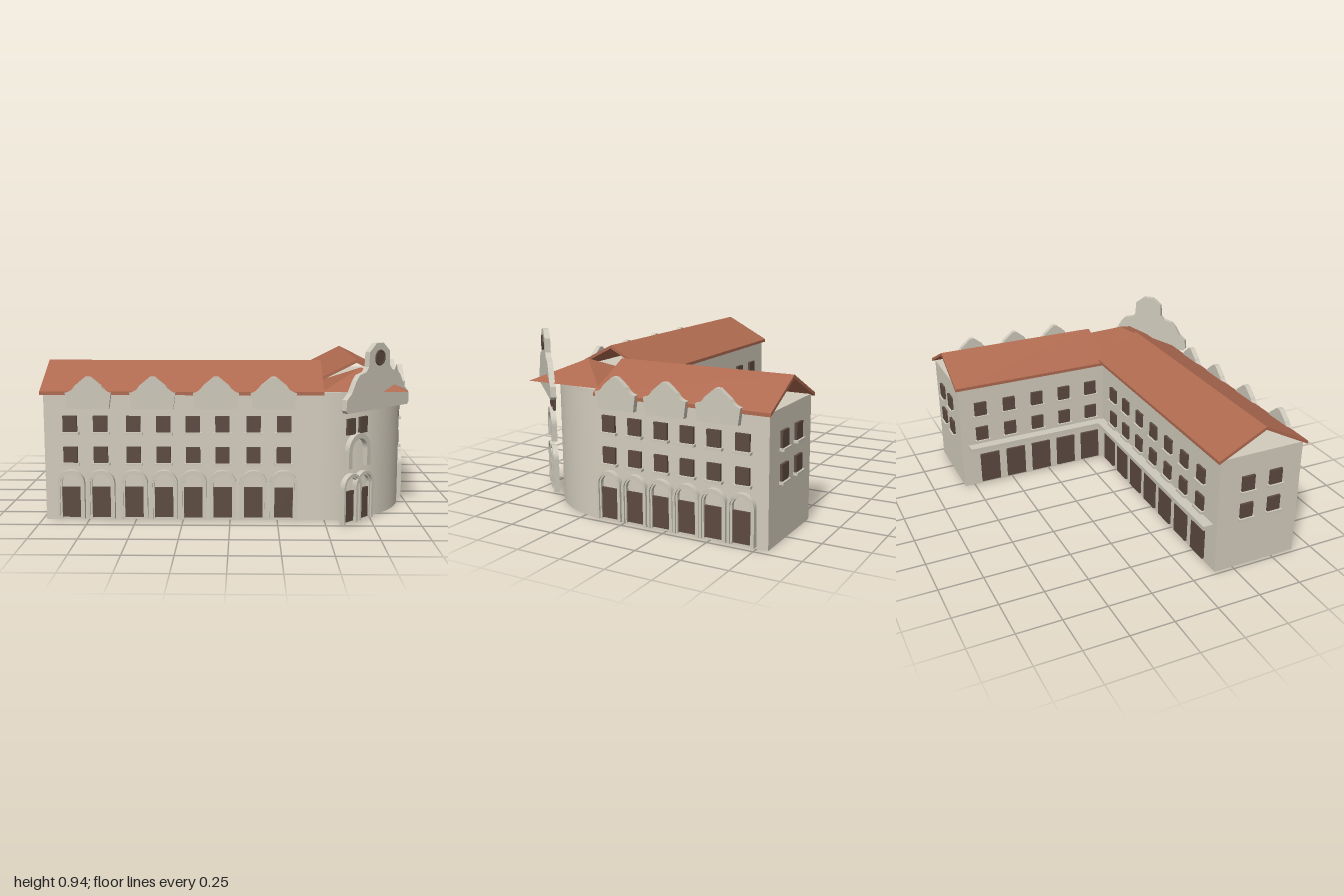
import * as THREE from 'three';

const material = (color) => new THREE.MeshStandardMaterial({ color, side: THREE.DoubleSide });
const wall = material(0xd2ccbc);
const trim = material(0xcdc8ba);
const roof = material(0xaf6a50);
const dark = material(0x5c4a40);

function add(parent, name, geometry, mat, x = 0, y = 0, z = 0) {
  const mesh = new THREE.Mesh(geometry, mat);
  mesh.name = name;
  mesh.position.set(x, y, z);
  parent.add(mesh);
  return mesh;
}

// Box given by its minimum and maximum corners
function block(parent, name, mat, [x0, y0, z0], [x1, y1, z1]) {
  return add(parent, name, new THREE.BoxGeometry(x1 - x0, y1 - y0, z1 - z0), mat,
    (x0 + x1) / 2, (y0 + y1) / 2, (z0 + z1) / 2);
}

const extrude = (shape, depth) =>
  new THREE.ExtrudeGeometry(shape, { depth, bevelEnabled: false, curveSegments: 12 });

// Round-headed band with straight jambs, standing on y = 0
function archBand(outer, inner, spring, depth) {
  const s = new THREE.Shape();
  s.moveTo(outer, 0);
  s.lineTo(outer, spring);
  s.absarc(0, spring, outer, 0, Math.PI, false);
  s.lineTo(-outer, 0);
  s.lineTo(-inner, 0);
  s.lineTo(-inner, spring);
  s.absarc(0, spring, inner, Math.PI, 0, true);
  s.lineTo(inner, 0);
  return extrude(s, depth);
}
const outerArch = archBand(0.072, 0.058, 0.19, 0.03);
const innerArch = archBand(0.058, 0.049, 0.19, 0.02);
const upperArch = archBand(0.09, 0.062, 0.09, 0.03);

// Facade group: local x runs along the wall, local z points outward
function facade(parent, name, x, z, angle) {
  const g = new THREE.Group();
  g.name = name;
  g.position.set(x, 0, z);
  g.rotation.y = angle;
  parent.add(g);
  return g;
}

function archedDoor(g, x, z = 0) {
  add(g, 'archSurround', outerArch, trim, x, 0.01, z);
  add(g, 'archInnerBand', innerArch, trim, x, 0.01, z);
  block(g, 'door', dark, [x - 0.05, 0.015, z], [x + 0.05, 0.178, z + 0.012]);
}

function window_(g, x, y, z = 0, sill = true, w = 0.075) {
  block(g, 'window', dark, [x - w / 2, y, z], [x + w / 2, y + 0.085, z + 0.014]);
  if (sill) block(g, 'windowSill', trim, [x - w / 2 - 0.01, y - 0.014, z], [x + w / 2 + 0.01, y, z + 0.025]);
}

function windowRows(g, xs, sill) {
  for (const x of xs) for (const y of [0.31, 0.475]) window_(g, x, y, 0, sill);
}

// Small curved dormer gable
const dormerShape = new THREE.Shape();
dormerShape.moveTo(-0.108, 0.6);
dormerShape.lineTo(0.108, 0.6);
dormerShape.lineTo(0.12, 0.685);
dormerShape.quadraticCurveTo(0.085, 0.69, 0.07, 0.72);
dormerShape.lineTo(0.012, 0.768);
dormerShape.lineTo(-0.012, 0.768);
dormerShape.lineTo(-0.07, 0.72);
dormerShape.quadraticCurveTo(-0.085, 0.69, -0.12, 0.685);
const dormer = extrude(dormerShape, 0.03);

// Two thin sloping slabs, open at the ends, running along local x
function gableRoof(parent, name, length, half, eave, ridge) {
  const t = 0.018;
  const s = new THREE.Shape();
  s.moveTo(-half, eave);
  s.lineTo(0, ridge);
  s.lineTo(half, eave);
  s.lineTo(half, eave - t);
  s.lineTo(0, ridge - t);
  s.lineTo(-half, eave - t);
  const geometry = extrude(s, length);
  geometry.translate(0, 0, -length / 2);
  return add(parent, name, geometry, roof);
}

export function createModel() {
  const model = new THREE.Group();
  model.name = 'cornerBuilding';

  // Two wings and the rounded corner between them
  block(model, 'frontWing', wall, [-0.98, 0, 0.14], [0.46, 0.683, 0.64]);
  block(model, 'sideWing', wall, [0.46, 0, -0.81], [0.96, 0.668, 0.14]);
  add(model, 'roundedCorner', new THREE.CylinderGeometry(0.5, 0.5, 0.685, 32, 1, false, 0, Math.PI / 2),
    wall, 0.46, 0.3425, 0.14);

  // Roofs
  const frontRoof = gableRoof(model, 'frontWingRoof', 1.485, 0.27, 0.69, 0.83);
  frontRoof.rotation.y = Math.PI / 2;
  frontRoof.position.set(-0.2525, 0, 0.39);
  const sideRoof = gableRoof(model, 'sideWingRoof', 0.985, 0.268, 0.675, 0.81);
  sideRoof.position.set(0.717, 0, -0.3325);
  const pyramid = new THREE.ConeGeometry(0.225 * Math.SQRT2, 0.105, 4).toNonIndexed();
  pyramid.rotateY(Math.PI / 4);
  pyramid.computeVertexNormals();
  add(model, 'cornerRoof', pyramid, roof, 0.71, 0.7375, 0.385);

  // Street facades
  const front = facade(model, 'frontFacade', 0, 0.64, 0);
  const frontBays = [-0.842, -0.682, -0.508, -0.35, -0.195, -0.04, 0.123, 0.283];
  frontBays.forEach((x) => archedDoor(front, x));
  windowRows(front, frontBays, true);
  for (const x of [-0.74, -0.404, -0.072, 0.227]) add(front, 'dormerGable', dormer, trim, x, 0, 0);

  const side = facade(model, 'sideFacade', 0.96, 0, Math.PI / 2);
  const sideBays = [-0.08, 0.074, 0.227, 0.375, 0.523, 0.676];
  sideBays.forEach((x) => archedDoor(side, x));
  windowRows(side, sideBays, true);
  for (const x of [-0.02, 0.267, 0.557]) add(side, 'dormerGable', dormer, trim, x, 0, 0.008);

  // Courtyard facades with plain doors under a ledge
  const rear = facade(model, 'rearFacade', 0, 0.14, Math.PI);
  const court = facade(model, 'courtyardFacade', 0.46, 0, -Math.PI / 2);
  const row = (n, start, step) => Array.from({ length: n }, (_, i) => start + i * step);
  const plainDoors = (g, xs, w) => xs.forEach((x) =>
    block(g, 'rearDoor', dark, [x - w / 2, 0.015, 0], [x + w / 2, 0.205, 0.014]));
  windowRows(rear, row(7, -0.283, 0.181), true);
  plainDoors(rear, row(7, -0.34, 0.19), 0.13);
  block(rear, 'rearLedge', trim, [-0.45, 0.255, 0], [0.94, 0.28, 0.06]);
  windowRows(court, row(5, -0.68, 0.182), true);
  plainDoors(court, row(5, -0.64, 0.17), 0.12);
  block(court, 'courtyardLedge', trim, [-0.77, 0.255, 0], [0.12, 0.28, 0.06]);

  // End walls
  windowRows(facade(model, 'frontWingEnd', -0.98, 0, -Math.PI / 2), [0.31, 0.48], true);
  windowRows(facade(model, 'sideWingEnd', 0, -0.81, Math.PI), [-0.8, -0.63], true);

  // Diagonal entrance front standing off the rounded corner
  const corner = facade(model, 'cornerFront', 0.765, 0.625, Math.PI / 4);
  for (const x of [-0.16, -0.06]) {
    archedDoor(corner, x, -0.045);
    window_(corner, x, 0.475, -0.045, false, 0.062);
  }
  add(corner, 'upperArch', upperArch, trim, -0.11, 0.3, -0.045);

  // Tall stepped gable, mirrored from one half profile
  const half = [[0.255, 0.6], [0.268, 0.615], [0.262, 0.67], [0.225, 0.7], [0.19, 0.76],
    [0.165, 0.787], [0.11, 0.8], [0.09, 0.825], [0.085, 0.9], [0.03, 0.943]];
  const outline = [...half, ...half.slice().reverse().map(([x, y]) => [-x, y])];
  const gable = new THREE.Shape(outline.map(([x, y]) => new THREE.Vector2(x, y)));
  add(corner, 'cornerGable', extrude(gable, 0.03), trim, 0, 0, -0.015);
  const disc = new THREE.CylinderGeometry(0.034, 0.034, 0.01, 24).rotateX(Math.PI / 2);
  add(corner, 'roundWindow', disc, dark, 0, 0.868, 0.015);
  add(corner, 'roundWindowFrame', new THREE.TorusGeometry(0.036, 0.006, 6, 24), dark, 0, 0.868, 0.017);

  return model;
}
